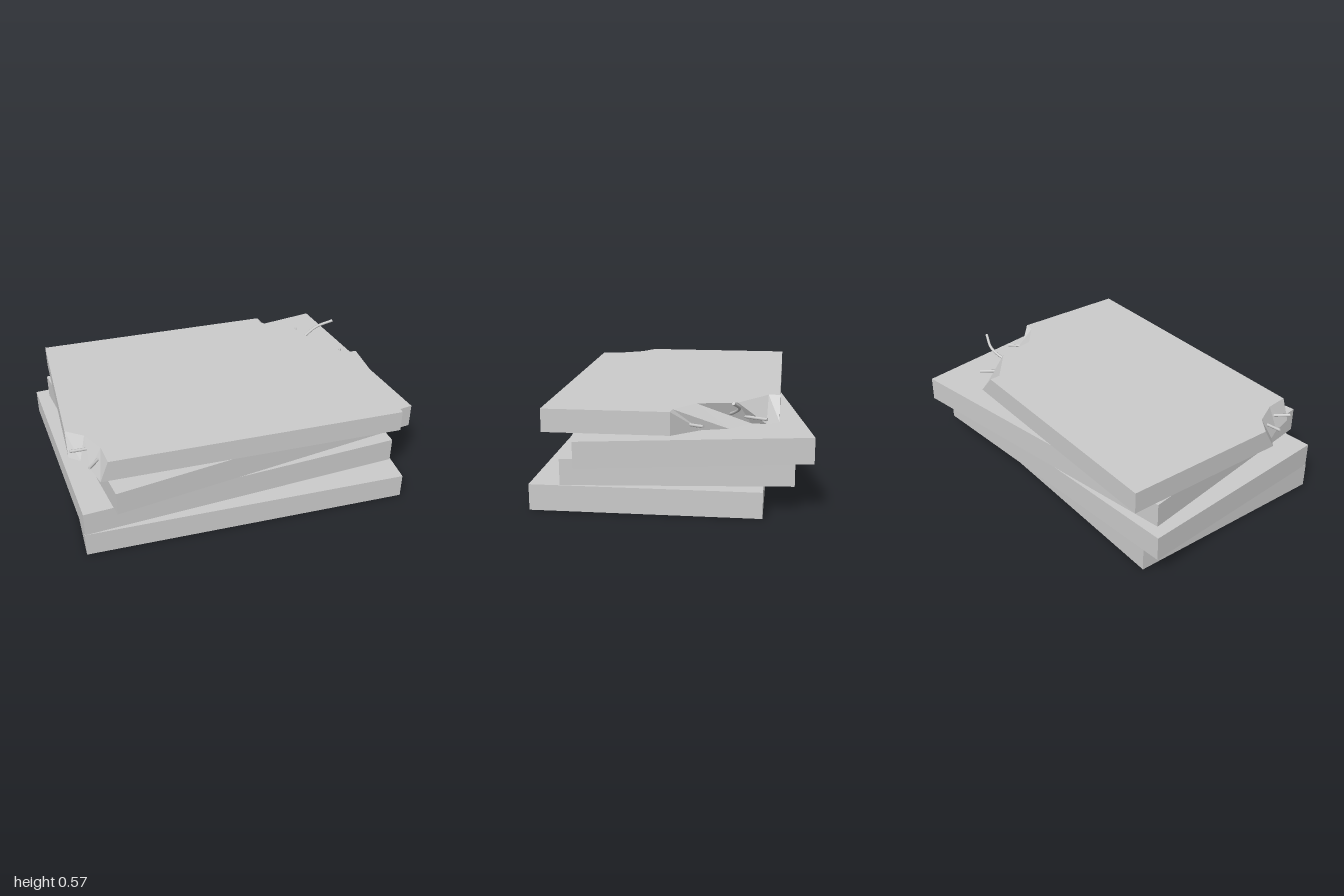
import * as THREE from 'three';

const material = new THREE.MeshStandardMaterial({ color: 0xcccccc, flatShading: true });
const steel = new THREE.MeshStandardMaterial({ color: 0xcccccc });

// Solid between a top and a bottom outline of [x, z] points, counterclockwise from above
function brokenSlab(top, bottom, y0, y1) {
  const n = top.length;
  const positions = [
    ...top.flatMap(([x, z]) => [x, y1, z]),
    ...bottom.flatMap(([x, z]) => [x, y0, z]),
  ];
  const cap = (pts) => THREE.ShapeUtils.triangulateShape(pts.map(([x, z]) => new THREE.Vector2(x, -z)), []);
  const index = [];
  cap(top).forEach(([a, b, c]) => index.push(a, b, c));
  cap(bottom).forEach(([a, b, c]) => index.push(n + a, n + c, n + b));
  for (let i = 0; i < n; i++) {
    const j = (i + 1) % n;
    index.push(i, n + i, n + j, i, n + j, j);
  }
  const geometry = new THREE.BufferGeometry();
  geometry.setAttribute('position', new THREE.Float32BufferAttribute(positions, 3));
  geometry.setIndex(index);
  const flat = geometry.toNonIndexed();
  flat.computeVertexNormals();
  return flat;
}

export function createModel() {
  const group = new THREE.Group();
  const add = (name, geometry, mat = material) => {
    const mesh = new THREE.Mesh(geometry, mat);
    mesh.name = name;
    group.add(mesh);
    return mesh;
  };

  // Three whole slabs, each twisted a little more: name, x, z, bottom, top, turn
  const slabs = [
    ['bottomSlab', -0.021, 0.098, 0, 0.135, 0],
    ['lowerMiddleSlab', -0.075, 0.021, 0.135, 0.27, 0.09],
    ['upperMiddleSlab', 0.034, -0.004, 0.27, 0.403, 0.174],
  ];
  for (const [name, x, z, y0, y1, turn] of slabs) {
    const slab = add(name, new THREE.BoxGeometry(1.752, y1 - y0, 1.168));
    slab.position.set(x, (y0 + y1) / 2, z);
    slab.rotation.y = turn;
  }

  // Top slab with two corners broken off on a ragged slope
  const top = [
    [-0.912, -0.555],
    [-0.912, 0.30], [-0.82, 0.365], [-0.755, 0.49], [-0.74, 0.612],
    [0.84, 0.612],
    [0.84, -0.03], [0.78, -0.035], [0.645, -0.14], [0.604, -0.345], [0.405, -0.495], [0.40, -0.555],
  ];
  const bottom = [
    [-0.912, -0.555],
    [-0.912, 0.37], [-0.856, 0.415], [-0.82, 0.49], [-0.785, 0.612],
    [0.84, 0.612],
    [0.84, -0.03], [0.716, -0.17], [0.674, -0.305], [0.55, -0.41], [0.56, -0.49], [0.508, -0.555],
  ];
  add('brokenTopSlab', brokenSlab(top, bottom, 0.403, 0.522));

  // Reinforcing bars sticking out of the breaks
  const bars = [
    [[0.53, 0.44, -0.33], [0.58, 0.442, -0.405], [0.635, 0.446, -0.495]],
    [[0.56, 0.45, -0.29], [0.615, 0.472, -0.325], [0.715, 0.52, -0.36], [0.81, 0.565, -0.335]],
    [[0.69, 0.438, -0.04], [0.75, 0.44, -0.11], [0.81, 0.446, -0.19]],
    [[-0.76, 0.468, 0.405], [-0.82, 0.472, 0.413], [-0.905, 0.478, 0.42]],
    [[-0.73, 0.468, 0.46], [-0.78, 0.47, 0.515], [-0.83, 0.474, 0.575]],
  ];
  const radius = 0.008;
  bars.forEach((points, i) => {
    const path = points.map((p) => new THREE.Vector3(...p));
    const bar = new THREE.Group();
    bar.name = `rebar${i + 1}`;
    const curve = new THREE.CatmullRomCurve3(path);
    const rod = new THREE.Mesh(new THREE.TubeGeometry(curve, 16, radius, 8), steel);
    rod.name = 'rod';
    // Flat end cap on the exposed tip
    const tip = new THREE.Mesh(new THREE.CircleGeometry(radius, 8), steel);
    tip.name = 'rodEnd';
    tip.position.copy(curve.getPoint(1));
    tip.quaternion.setFromUnitVectors(new THREE.Vector3(0, 0, 1), curve.getTangent(1));
    bar.add(rod, tip);
    group.add(bar);
  });

  return group;
}
